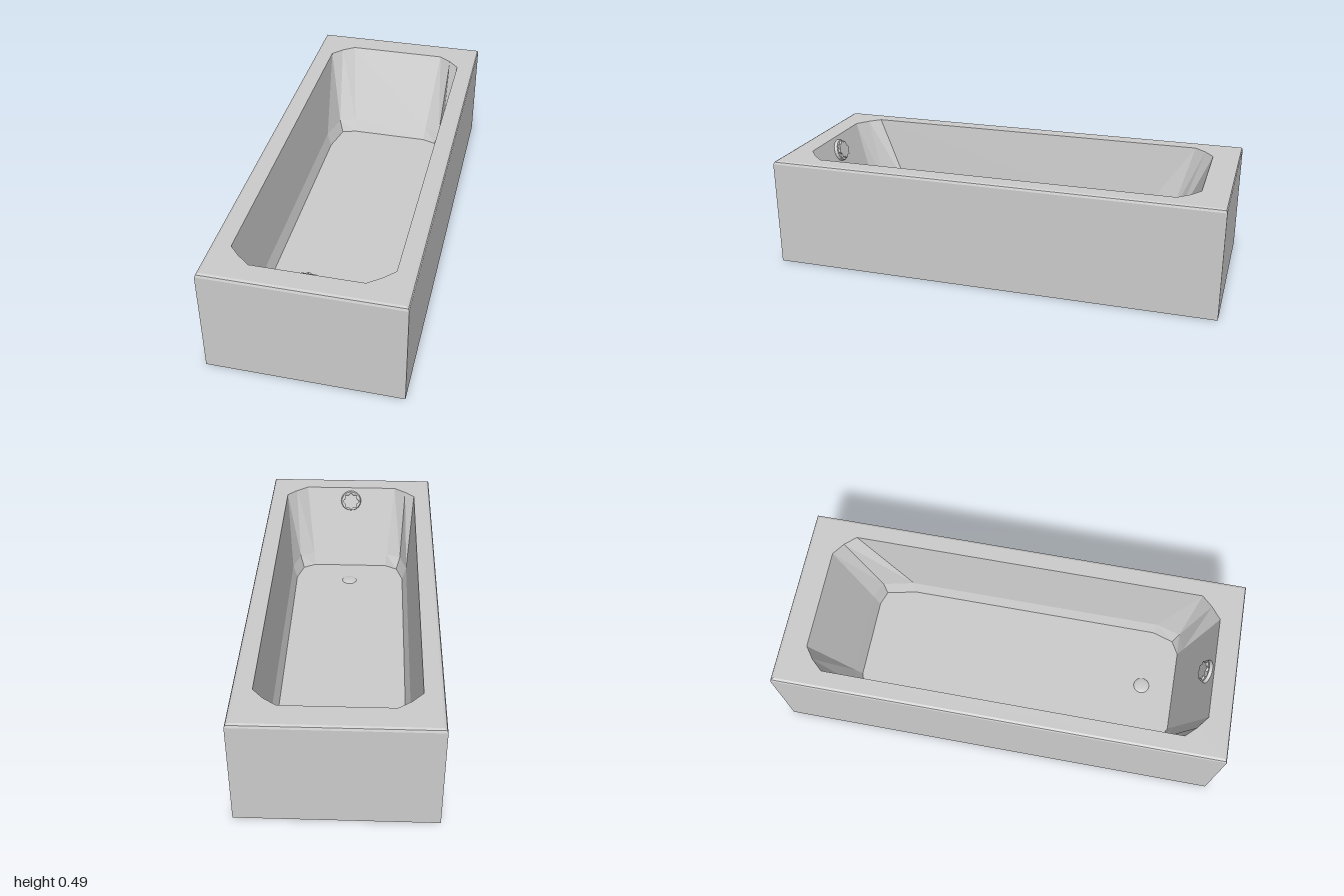
import * as THREE from 'three';

const grey = new THREE.MeshStandardMaterial({ color: 0xcccccc, flatShading: true });

function add(parent, name, geometry) {
  const mesh = new THREE.Mesh(geometry, grey);
  mesh.name = name;
  parent.add(mesh);
  return mesh;
}

// Flat-shaded skin over a stack of closed rings; rings are { y, pts: [[x, z], ...] }
function loft(rings) {
  const pos = [];
  for (let r = 0; r < rings.length - 1; r++) {
    const lo = rings[r], hi = rings[r + 1], n = lo.pts.length;
    for (let i = 0; i < n; i++) {
      const j = (i + 1) % n;
      const v = (ring, k) => [ring.pts[k][0], ring.y, ring.pts[k][1]];
      const a = v(lo, i), b = v(lo, j), c = v(hi, j), d = v(hi, i);
      pos.push(...a, ...d, ...c, ...a, ...c, ...b);
    }
  }
  const g = new THREE.BufferGeometry();
  g.setAttribute('position', new THREE.Float32BufferAttribute(pos, 3));
  g.computeVertexNormals();
  return g;
}

// Horizontal face from an outline of [x, z] points, with an optional hole
function flatFace(y, outline, hole) {
  const vec = (pts) => pts.map(([x, z]) => new THREE.Vector2(x, -z));
  const shape = new THREE.Shape(vec(outline));
  if (hole) shape.holes.push(new THREE.Path(vec(hole)));
  return new THREE.ShapeGeometry(shape).rotateX(-Math.PI / 2).translate(0, y, 0);
}

const rectRing = (y, x, z) => ({ y, pts: [[x, -z], [x, z], [-x, z], [-x, -z]] });

// Right half of a basin ring, mirrored to the other side
const mirrorRing = (y, half) => ({
  y, pts: [...half, ...half.map(([x, z]) => [-x, z]).reverse()],
});

export function createModel() {
  const tub = new THREE.Group();
  tub.name = 'bathtub';
  const H = 0.488, floorY = 0.08;

  // Outer panels with a softened top edge
  const outer = [
    rectRing(0, 0.413, 1),
    rectRing(H - 0.014, 0.413, 1),
    rectRing(H - 0.004, 0.409, 0.996),
    rectRing(H, 0.399, 0.986),
  ];
  add(tub, 'outerPanels', loft(outer));
  add(tub, 'underside', new THREE.PlaneGeometry(0.826, 2).rotateX(Math.PI / 2));

  // Basin: sloped walls, then a bevel down to the floor
  const basin = [
    mirrorRing(H, [[0.23, -0.88], [0.285, -0.84], [0.33, -0.79], [0.33, 0.81], [0.285, 0.857], [0.23, 0.9]]),
    mirrorRing(0.14, [[0.192, -0.726], [0.268, -0.695], [0.3, -0.55], [0.3, 0.66], [0.268, 0.77], [0.196, 0.798]]),
    mirrorRing(floorY, [[0.185, -0.7], [0.25, -0.678], [0.28, -0.54], [0.28, 0.65], [0.25, 0.747], [0.19, 0.78]]),
  ];
  add(tub, 'rim', flatFace(H, outer[3].pts, basin[0].pts));
  add(tub, 'basinWalls', loft(basin));
  add(tub, 'basinFloor', flatFace(floorY, basin[2].pts));

  // Low domed drain plug
  const plug = add(tub, 'drainPlug', new THREE.SphereGeometry(0.037, 16, 4, 0, Math.PI * 2, 0, Math.PI / 2));
  plug.scale.y = 0.2;
  plug.position.set(0, floorY, 0.63);

  // Overflow knob, standing out from the sloped front end wall
  const overflow = new THREE.Group();
  overflow.name = 'overflowKnob';
  overflow.position.set(0, 0.422, 0.88);
  overflow.rotation.x = -Math.atan2(0.408, 0.12);
  tub.add(overflow);
  add(overflow, 'overflowPlate', new THREE.CylinderGeometry(0.049, 0.053, 0.014, 20).translate(0, 0.007, 0));

  // Scalloped grip
  const grip = new THREE.Shape();
  const n = 32;
  for (let i = 0; i < n; i++) {
    const a = (i / n) * Math.PI * 2, r = 0.039 + 0.005 * Math.cos(8 * a);
    grip[i ? 'lineTo' : 'moveTo'](r * Math.cos(a), r * Math.sin(a));
  }
  add(overflow, 'overflowGrip', new THREE.ExtrudeGeometry(grip, { depth: 0.012, bevelEnabled: false })
    .rotateX(-Math.PI / 2).translate(0, 0.012, 0));
  return tub;
}
